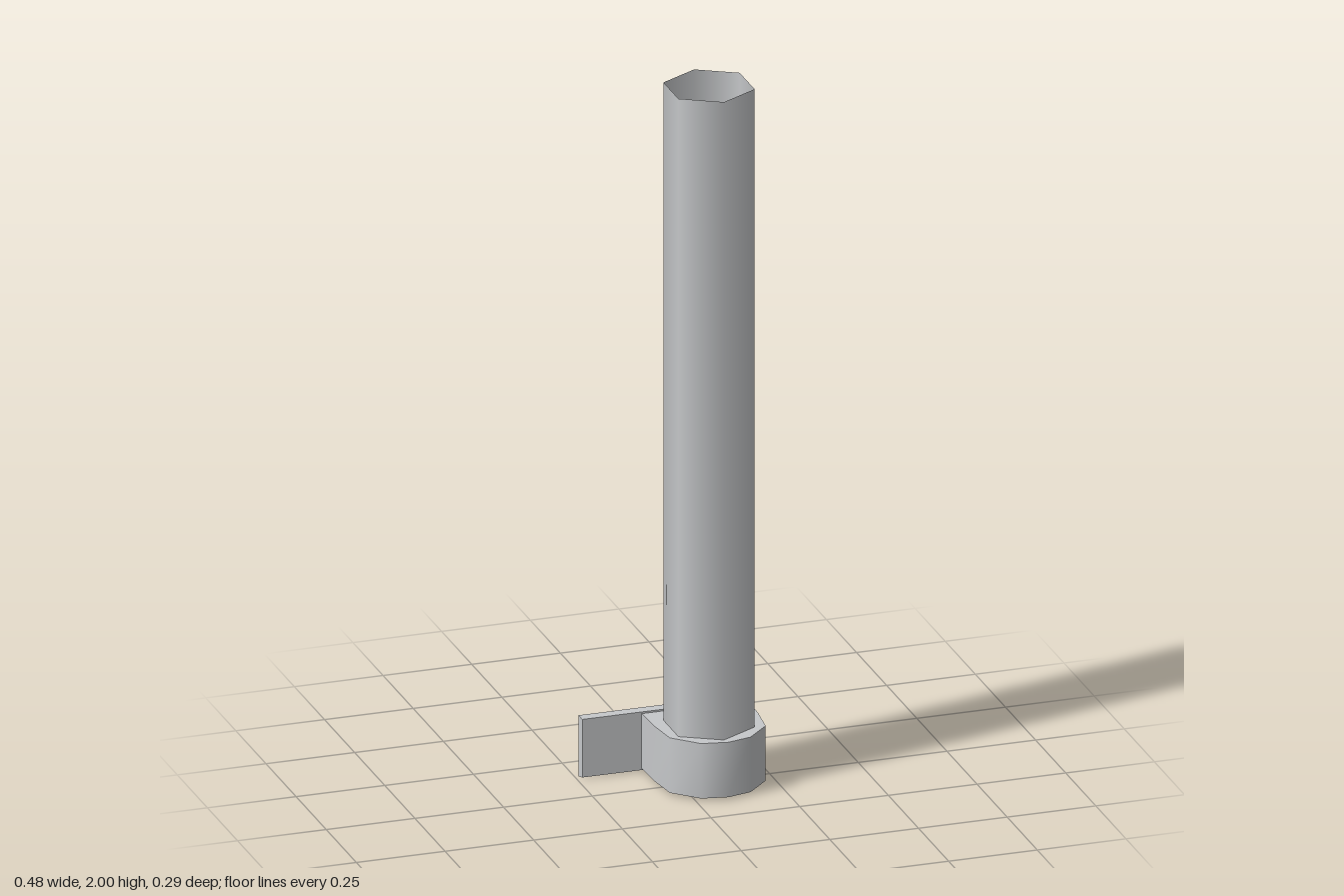
import * as THREE from 'three';

const metal = new THREE.MeshStandardMaterial({ color: 0xc6c8ca, side: THREE.DoubleSide });
metal.name = 'light grey metal';

function add(group, name, geometry) {
  const mesh = new THREE.Mesh(geometry, metal);
  mesh.name = name;
  group.add(mesh);
  return mesh;
}

// Flat quads, each with its own four corners so edges stay sharp
function quads(list) {
  const positions = [];
  for (const [a, b, c, d] of list) positions.push(...a, ...b, ...c, ...a, ...c, ...d);
  const g = new THREE.BufferGeometry();
  g.setAttribute('position', new THREE.Float32BufferAttribute(positions, 3));
  g.computeVertexNormals();
  return g;
}

// Smooth vertical wall following an open outline of [x, z] points
function wall(outline, y0, y1) {
  const positions = [], index = [];
  outline.forEach(([x, z], i) => {
    positions.push(x, y0, z, x, y1, z);
    if (i) {
      const a = 2 * i - 2;
      index.push(a, a + 2, a + 3, a, a + 3, a + 1);
    }
  });
  const g = new THREE.BufferGeometry();
  g.setAttribute('position', new THREE.Float32BufferAttribute(positions, 3));
  g.setIndex(index);
  g.computeVertexNormals();
  return g;
}

export function createModel() {
  const model = new THREE.Group();
  model.name = 'postWithBracket';

  // Tall open six-sided tube with smooth shading
  const tube = add(model, 'tube', new THREE.CylinderGeometry(0.124, 0.124, 1.834, 6, 1, true));
  tube.position.set(0.079, 0.166 + 0.917, 0.001);

  // Rounded socket the tube stands on
  const outline = [
    [-0.068, -0.125], [-0.065, -0.03], [-0.053, 0.064], [0.013, 0.13], [0.085, 0.144],
    [0.153, 0.128], [0.217, 0.064], [0.228, -0.03], [0.231, -0.125],
  ];
  const low = 0.008, high = 0.166;
  const socket = new THREE.Group();
  socket.name = 'socket';
  model.add(socket);
  add(socket, 'socketWall', wall(outline, low, high));
  const cap = new THREE.ShapeGeometry(new THREE.Shape(outline.map(([x, z]) => new THREE.Vector2(x, -z))));
  cap.rotateX(-Math.PI / 2);
  add(socket, 'socketTop', cap).position.y = high;
  const base = new THREE.ShapeGeometry(new THREE.Shape(outline.map(([x, z]) => new THREE.Vector2(x, z))));
  base.rotateX(Math.PI / 2);
  add(socket, 'socketBase', base).position.y = low;

  // Shallow mounting plate, open at the back, with flared rims
  const rect = (w, y0, y1, z) => [[-w, y0, z], [w, y0, z], [w, y1, z], [-w, y1, z]];
  const front = rect(0.2355, 0.004, 0.171, -0.125);
  const back = rect(0.239, 0, 0.175, -0.147);
  const faces = [front];
  for (let i = 0; i < 4; i++) {
    const j = (i + 1) % 4;
    faces.push([front[i], back[i], back[j], front[j]]);
  }
  add(model, 'mountingPlate', quads(faces));

  return model;
}
